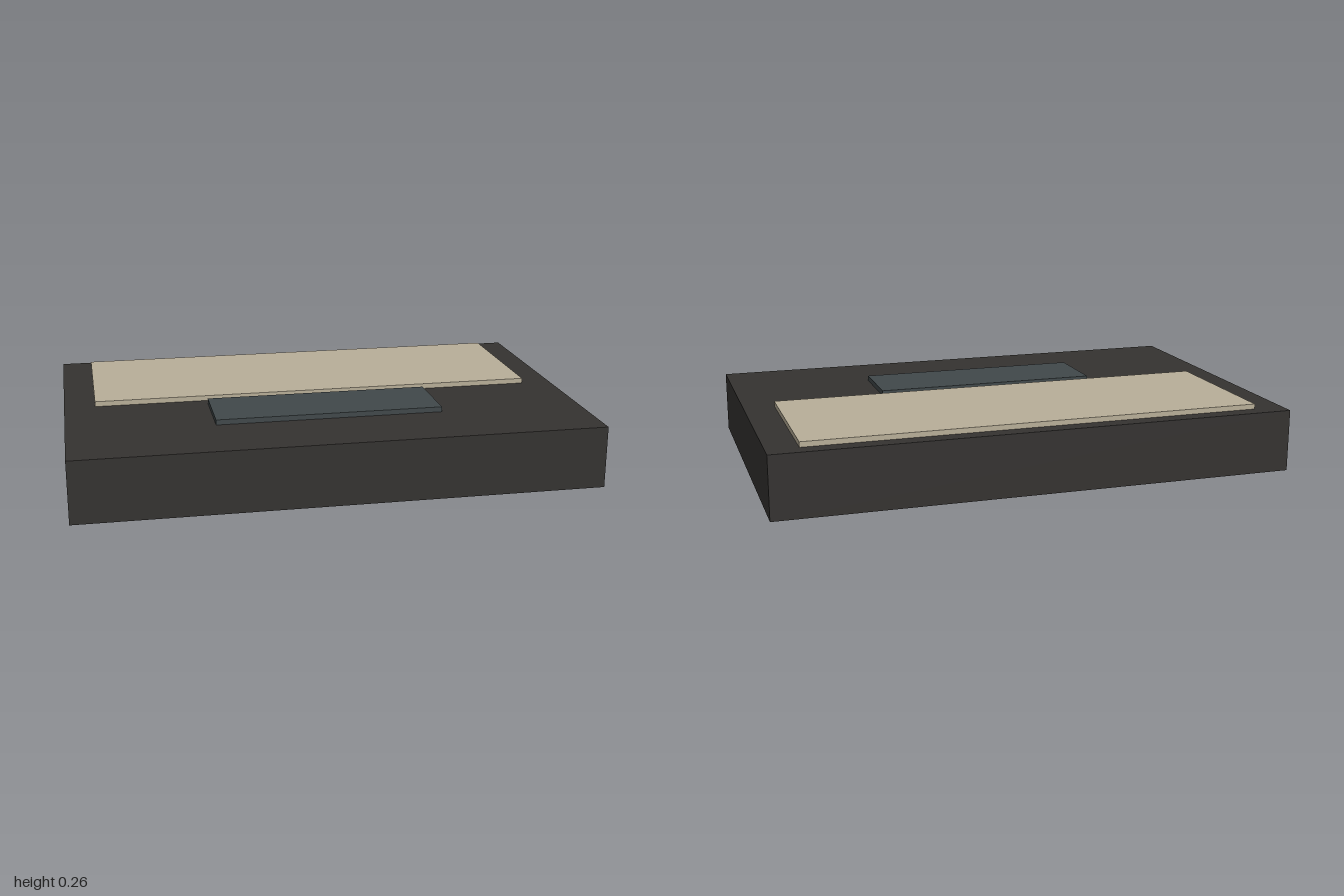
import * as THREE from 'three';

// Box given by its extents along each axis
function slab(name, color, [x0, x1], [y0, y1], [z0, z1]) {
  const mesh = new THREE.Mesh(
    new THREE.BoxGeometry(x1 - x0, y1 - y0, z1 - z0),
    new THREE.MeshStandardMaterial({ color })
  );
  mesh.position.set((x0 + x1) / 2, (y0 + y1) / 2, (z0 + z1) / 2);
  mesh.name = name;
  return mesh;
}

export function createModel() {
  const group = new THREE.Group();
  group.name = 'keyboardDeck';
  const deckTop = 0.24, padTop = 0.26;

  // Dark deck with the key panel at the back and the touch pad in front of it
  group.add(
    slab('deck', 0x343230, [-1, 1], [0, deckTop], [-0.64, 0.64]),
    slab('keyPanel', 0xb8ae98, [-0.88, 0.88], [deckTop, padTop], [-0.58, 0.02]),
    slab('touchPad', 0x40484a, [-0.44, 0.44], [deckTop, padTop], [0.06, 0.34])
  );
  return group;
}
